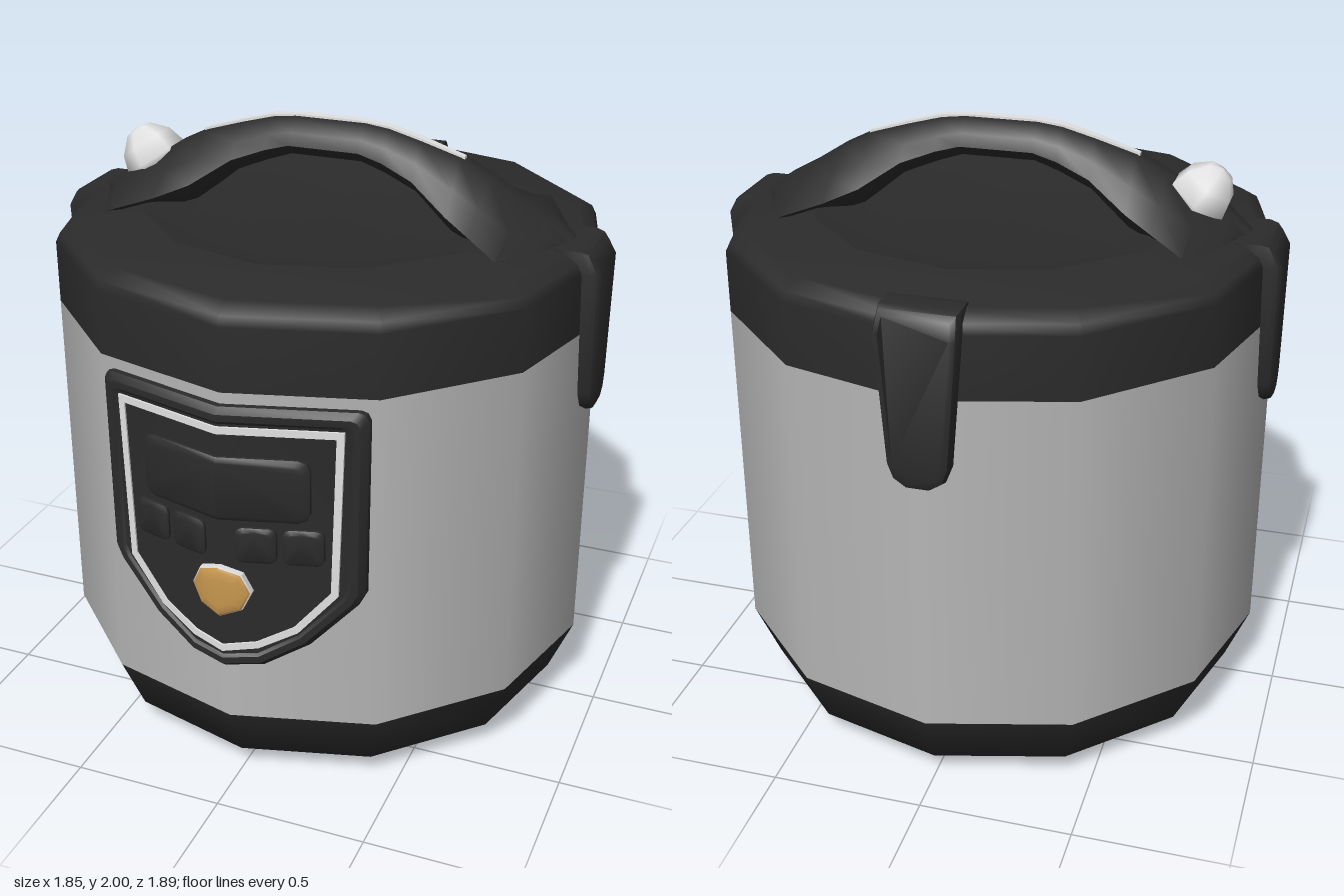
import * as THREE from 'three';
import { toCreasedNormals } from 'three/addons/utils/BufferGeometryUtils.js';

const CZ = -0.02; // body axis
const BEND = 0.268; // slope of the two front facets

const material = (name, color) => {
  const m = new THREE.MeshStandardMaterial({ color });
  m.name = name;
  return m;
};

const buildGeometry = (pos, idx, crease) => {
  const g = new THREE.BufferGeometry();
  g.setAttribute('position', new THREE.Float32BufferAttribute(pos, 3));
  g.setIndex(idx);
  return toCreasedNormals(g, crease);
};

// Solid or band wrapped over the front corner. half: right-side outline, top to bottom.
// layers: [inset, z] rings from back to front.
function bentSolid(half, layers, cap = true, cx = 0, cy = 0) {
  const ring = [...half, ...half.slice(1, -1).reverse().map(([x, y]) => [-x, y])];
  const n = ring.length;
  const ys = half.map(p => p[1]);
  const top = Math.max(...ys), bottom = Math.min(...ys);
  const mid = (top + bottom) / 2, h = (top - bottom) / 2;
  const w = Math.max(...half.map(p => p[0]));
  const pos = [], idx = [];
  for (const [inset, z] of layers) {
    for (const [px, py] of ring) {
      const x = cx + px * (1 - inset / w);
      pos.push(x, cy + mid + (py - mid) * (1 - inset / h), z - BEND * Math.abs(x));
    }
  }
  for (let l = 0; l < layers.length - 1; l++) {
    for (let i = 0; i < n; i++) {
      const a = l * n + i, b = l * n + (i + 1) % n;
      idx.push(a, b + n, b, a, a + n, b + n);
    }
  }
  if (cap) {
    const o = (layers.length - 1) * n;
    for (let i = 1; i < n - 1; i++) idx.push(o, o + i + 1, o + i);
  }
  return buildGeometry(pos, idx, 0.6);
}

// Right half of a rectangle with clipped corners
const roundedHalf = (w, h, c) => [[0, h], [w - c, h], [w - c * 0.3, h - c * 0.3], [w, h - c],
  [w, c - h], [w - c * 0.3, c * 0.3 - h], [w - c, -h], [0, -h]];

// Closed loft along +x through rings that turn from +y to +z
function loft(rings, crease) {
  const n = rings[0].length, pos = rings.flat(2), idx = [];
  for (let s = 0; s < rings.length - 1; s++) {
    for (let i = 0; i < n; i++) {
      const a = s * n + i, b = s * n + (i + 1) % n;
      idx.push(a, b, b + n, a, b + n, a + n);
    }
  }
  const e = (rings.length - 1) * n;
  for (let i = 1; i < n - 1; i++) idx.push(0, i + 1, i, e, e + i, e + i + 1);
  return buildGeometry(pos, idx, crease);
}

export function createModel() {
  const root = new THREE.Group();
  root.name = 'cooker';
  const black = material('black plastic', 0x2b2b2b);
  const steel = material('brushed steel', 0xb6b6b6);
  const silver = material('bright silver', 0xe2e2e2);
  const gold = material('gold', 0xc8984f);

  const add = (name, geometry, mat, parent = root) => {
    const m = new THREE.Mesh(geometry, mat);
    m.name = name;
    parent.add(m);
    return m;
  };
  const lathe = (name, pts, mat, sides = 12) =>
    add(name, new THREE.LatheGeometry(pts.map(p => new THREE.Vector2(...p)), sides), mat);

  // Twelve-sided pot: base, steel wall and lid with a shallow dish
  lathe('base', [[0, 0], [0.62, 0], [0.825, 0.08], [0.905, 0.27]], black).position.z = CZ;
  lathe('body', [[0.905, 0.27], [0.905, 1.415]], steel).position.z = CZ;
  lathe('lid', [[0.905, 1.415], [0.905, 1.62], [0.89, 1.65], [0.84, 1.68], [0.62, 1.71]],
    black).position.z = CZ;
  lathe('lidDish', [[0.62, 1.71], [0.45, 1.675], [0, 1.66]], black).position.z = CZ;

  // Handle arch: [x, top, bottom, half width]
  const side = [[0.12, 1.99, 1.875, 0.088], [0.2, 1.98, 1.848, 0.092], [0.31, 1.95, 1.805, 0.12],
    [0.44, 1.91, 1.7, 0.17], [0.54, 1.86, 1.67, 0.235], [0.65, 1.79, 1.67, 0.34],
    [0.74, 1.74, 1.65, 0.19], [0.82, 1.685, 1.64, 0.04]];
  const stations = [...side.map(([x, ...r]) => [-x, ...r]).reverse(), ...side];
  const sections = stations.map(([x, t, b, w]) => {
    const h = t - b, k = Math.min(0.03, w * 0.6);
    const q = Math.min(0.45 * w + 0.035, w);
    const half = [[k, t], [q, t - 0.35 * h], [w, b + 0.3 * h], [w * 0.6, b]];
    const ring = [...half, ...half.map(([z, y]) => [-z, y]).reverse()];
    return ring.map(([z, y]) => [x, y, z + CZ]);
  });
  add('handle', loft(sections, 0.9), black);

  // Silver strip along the handle's ridge: [x, top, half width]
  const strip = [[-0.45, 1.914, 0.011], [-0.31, 1.958, 0.015], [-0.2, 1.988, 0.017], [-0.1, 1.997, 0.017],
    [0.1, 1.997, 0.017], [0.2, 1.988, 0.017], [0.31, 1.958, 0.015], [0.45, 1.914, 0.011]];
  add('handleStrip', loft(strip.map(([x, y, w]) => [[x, y, CZ - w], [x, y, CZ + w],
    [x, y - 0.02, CZ + w], [x, y - 0.02, CZ - w]]), 0.5), silver);

  // Steam valve tilted on the handle's right shoulder
  const valve = lathe('steamValve', [[0, -0.045], [0.095, -0.045], [0.11, -0.01], [0.092, 0.05],
    [0.045, 0.1], [0, 0.11]], silver, 6);
  valve.position.set(-0.65, 1.795, CZ - 0.005);
  valve.rotation.z = 0.6;

  // Three tapered latches, sloping back at the top
  const latchShape = new THREE.Shape([[-0.1, 1.665], [-0.105, 1.62], [-0.075, 1.21], [-0.06, 1.17],
    [-0.03, 1.15], [0.03, 1.15], [0.06, 1.17], [0.075, 1.21], [0.105, 1.62], [0.1, 1.665]]
    .map(p => new THREE.Vector2(...p)));
  const latchBlock = new THREE.ExtrudeGeometry(latchShape, {
    depth: 0.075, bevelEnabled: true, bevelThickness: 0.03, bevelSize: 0.024, bevelSegments: 2,
  }).translate(0, 0, 0.822);
  const lp = latchBlock.attributes.position;
  for (let i = 0; i < lp.count; i++) {
    lp.setZ(i, lp.getZ(i) - 0.6 * Math.max(0, lp.getY(i) - 1.625));
  }
  const latchGeometry = toCreasedNormals(latchBlock, 0.7);
  [['leftLatch', Math.PI / 2], ['rightLatch', -Math.PI / 2], ['backLatch', Math.PI]].forEach(([name, a]) => {
    const latch = add(name, latchGeometry, black);
    latch.rotation.y = a;
    latch.position.z = CZ;
  });

  // Shield-shaped control panel
  const panel = new THREE.Group();
  panel.name = 'controlPanel';
  root.add(panel);
  const outline = [[0, 1.38], [0.4, 1.38], [0.42, 1.372], [0.43, 1.35], [0.425, 0.77],
    [0.405, 0.73], [0.26, 0.575], [0.12, 0.49], [0, 0.478]];
  add('panelBody', bentSolid(outline, [[0, 0.85], [0, 0.905], [0.018, 0.926], [0.04, 0.926],
    [0.05, 0.918]]), black, panel);
  const trim = [[0, 1.322], [0.367, 1.322], [0.35, 0.765], [0.23, 0.625], [0.11, 0.56], [0, 0.542]];
  add('panelTrim', bentSolid(trim, [[0, 0.915], [0, 0.925], [0.023, 0.925], [0.023, 0.915]], false),
    silver, panel);
  add('display', bentSolid(roundedHalf(0.27, 0.105, 0.035), [[0, 0.91], [0, 0.928], [0.015, 0.938]],
    true, 0, 1.12), black, panel);
  for (const x of [-0.25, -0.11, 0.11, 0.25]) {
    add('button', bentSolid(roundedHalf(0.06, 0.06, 0.02), [[0, 0.91], [0, 0.928], [0.012, 0.936]],
      true, x, 0.93), black, panel);
  }

  // Gold start button with a silver rim
  const octagon = [0, 1, 2, 3, 4].map(i =>
    [0.098 * Math.sin(i * Math.PI / 4), 0.088 * Math.cos(i * Math.PI / 4)]);
  add('startButtonRim', bentSolid(octagon, [[0, 0.91], [0, 0.936], [0.008, 0.94]], true, 0, 0.767),
    silver, panel);
  add('startButton', bentSolid(octagon, [[0.003, 0.939], [0.01, 0.945], [0.04, 0.948]], true, 0, 0.767),
    gold, panel);

  return root;
}
